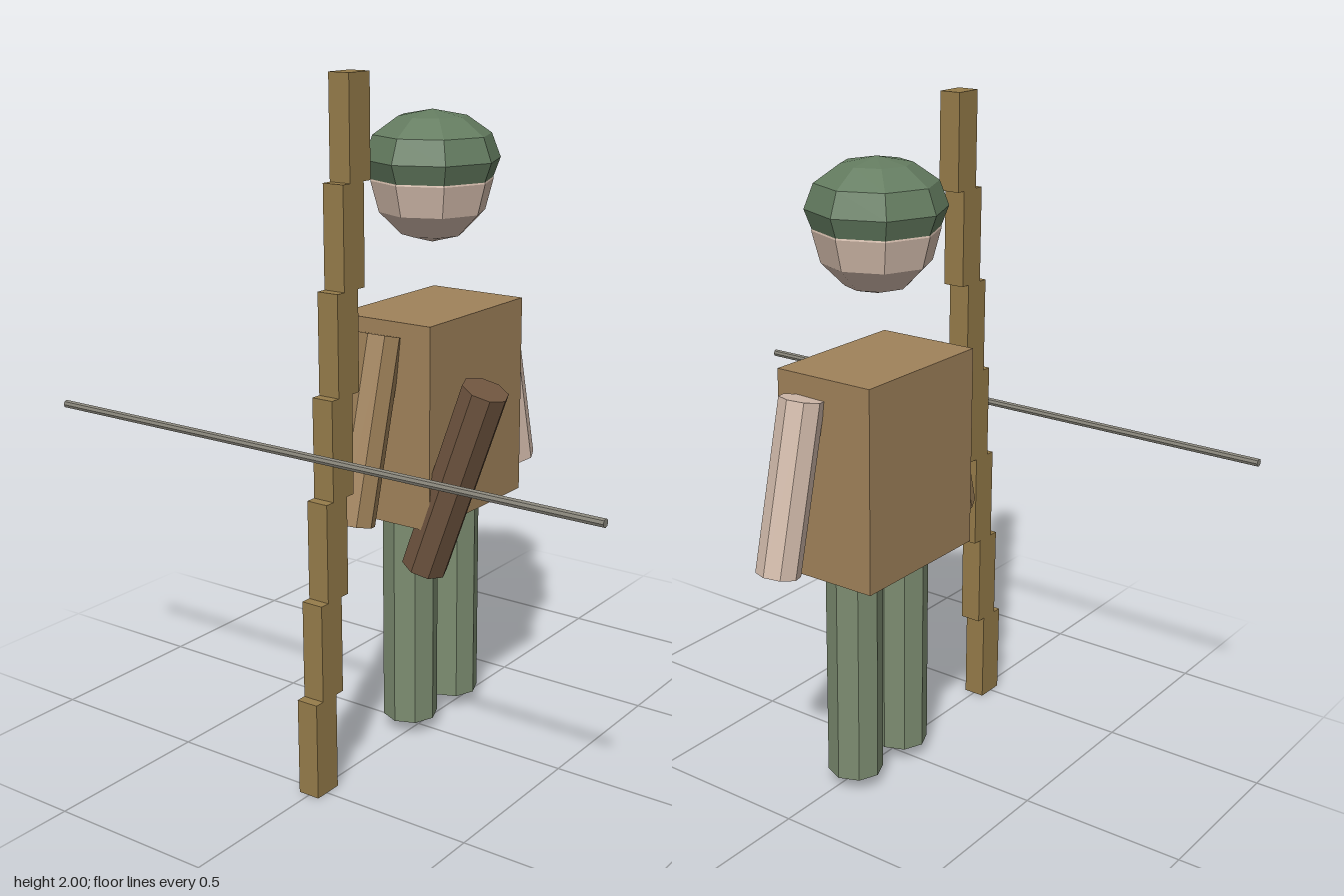
import * as THREE from 'three';

const material = (color) => new THREE.MeshStandardMaterial({ color, flatShading: true });

export function createModel() {
  const group = new THREE.Group();
  const cloth = material(0xa0825a), skin = material(0xd6beae);
  const trousers = material(0x7c8c70), cap = material(0x647c60);
  const wood = material(0x967c4a), leather = material(0x705640), metal = material(0x88857a);

  const add = (name, geometry, mat, x, y, z) => {
    const mesh = new THREE.Mesh(geometry, mat);
    mesh.name = name;
    mesh.position.set(x, y, z);
    group.add(mesh);
    return mesh;
  };

  // Eight-sided rod between two points
  const rod = (name, mat, radius, from, to) => {
    const a = new THREE.Vector3(...from), b = new THREE.Vector3(...to);
    const dir = b.clone().sub(a);
    const mid = a.clone().add(b).multiplyScalar(0.5);
    const mesh = add(name, new THREE.CylinderGeometry(radius, radius, dir.length(), 8), mat, mid.x, mid.y, mid.z);
    mesh.quaternion.setFromUnitVectors(new THREE.Vector3(0, 1, 0), dir.normalize());
    return mesh;
  };

  const cx = 0.098, cz = -0.02;

  // Torso and legs
  add('torso', new THREE.BoxGeometry(0.485, 0.6, 0.32), cloth, cx, 1.003, cz);
  for (const [name, side] of [['rightLeg', -1], ['leftLeg', 1]]) {
    const x = cx + side * 0.112;
    rod(name, trousers, 0.083, [x, 0.043, cz], [x, 0.705, cz]);
  }

  // Head and flattened cap
  add('head', new THREE.SphereGeometry(0.18, 8, 6), skin, cx, 1.671, cz);
  add('cap', new THREE.SphereGeometry(0.2, 8, 6), cap, cx, 1.731, cz).scale.y = 0.7;

  // Arms
  rod('leftArm', skin, 0.064, [0.475, 0.757, 0.038], [0.375, 1.247, 0.025]);
  rod('rightArm', cloth, 0.064, [-0.295, 0.738, -0.02], [-0.155, 1.262, -0.02]);

  // Quiver leaning away from the chest
  rod('quiver', leather, 0.069, [-0.083, 0.568, 0.08], [-0.083, 1.133, 0.285]);

  // Stepped bow stave
  for (let i = 0; i < 7; i++) {
    add('bowSegment' + (i + 1), new THREE.BoxGeometry(0.09, 2 / 7, 0.067), wood, -0.495 + i * 0.03, (i + 0.5) * 2 / 7, 0);
  }

  // Long arrow lying front to back
  rod('arrow', metal, 0.012, [-0.528, 1.003, -0.91], [-0.528, 1.003, 0.91]);

  return group;
}
